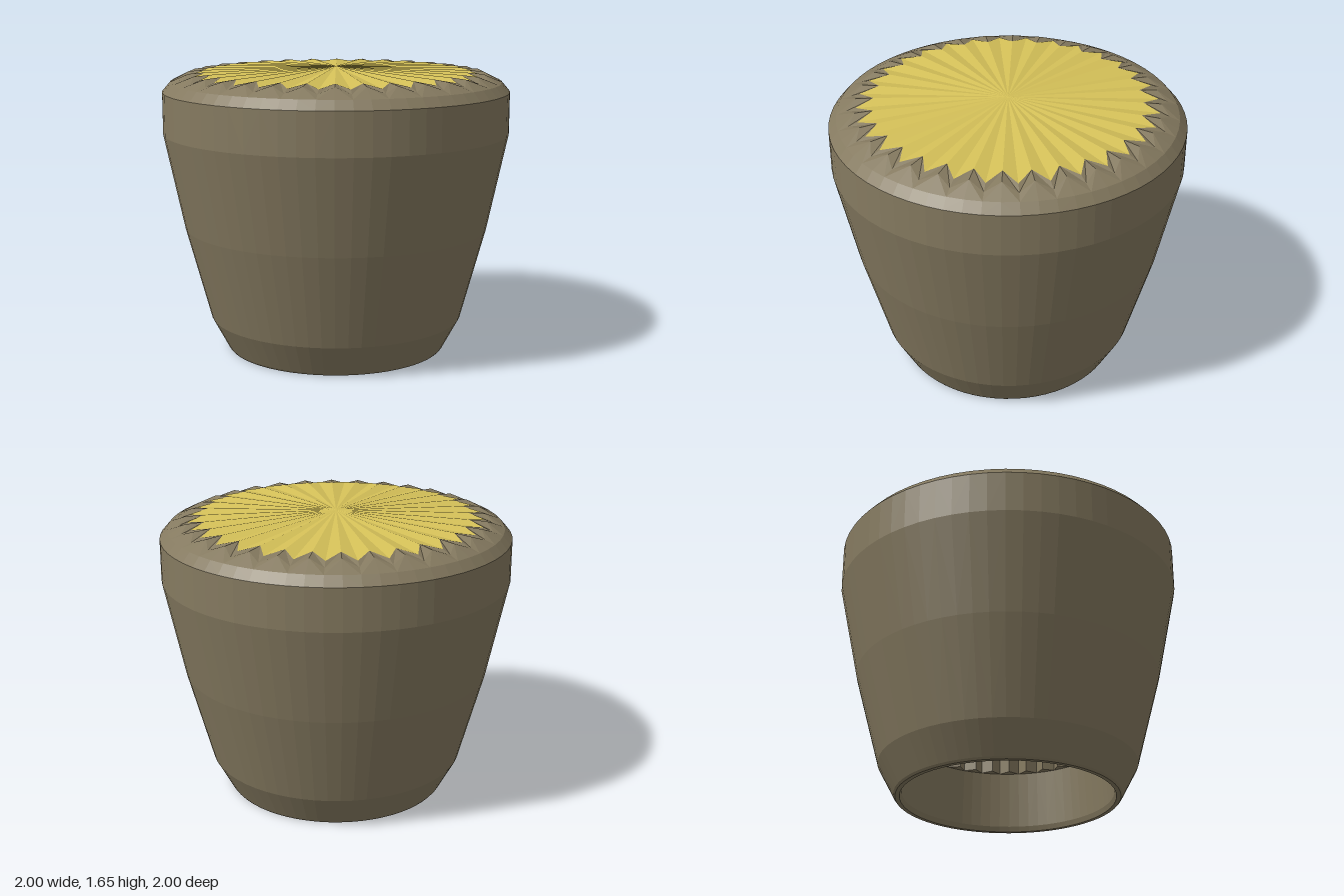
import * as THREE from 'three';

const SIDES = 64; // 32 pleats: even corners are grooves, odd corners are ridges

// Skin a stack of rings. Each ring is [r, y] or [grooveR, grooveY, ridgeR, ridgeY].
// Rings climbing on the outside (or descending on the inside) face outward.
function loft(rings) {
  const pos = [], idx = [];
  for (const [r0, y0, r1 = r0, y1 = y0] of rings) {
    for (let i = 0; i < SIDES; i++) {
      const a = (i / SIDES) * Math.PI * 2;
      const r = i % 2 ? r1 : r0;
      pos.push(r * Math.sin(a), i % 2 ? y1 : y0, r * Math.cos(a));
    }
  }
  for (let k = 0; k < rings.length - 1; k++) {
    for (let i = 0; i < SIDES; i++) {
      const j = (i + 1) % SIDES;
      const a = k * SIDES + i, b = k * SIDES + j;
      const c = a + SIDES, d = b + SIDES;
      // split each quad along the line mirrored about the ridge
      if (i % 2) idx.push(a, b, c, b, d, c);
      else idx.push(a, b, d, a, d, c);
    }
  }
  const g = new THREE.BufferGeometry();
  g.setAttribute('position', new THREE.Float32BufferAttribute(pos, 3));
  g.setIndex(idx);
  const flat = g.toNonIndexed();
  flat.computeVertexNormals();
  return flat;
}

function part(name, rings, color) {
  const material = new THREE.MeshStandardMaterial({ color, flatShading: true });
  const mesh = new THREE.Mesh(loft(rings), material);
  mesh.name = name;
  return mesh;
}

export function createModel() {
  const group = new THREE.Group();
  group.name = 'knob';
  const brown = 0x857a60, yellow = 0xd4c058;
  const star = [0.845, 1.612, 0.75, 1.632]; // zigzag border of the cap

  // Tapered wall from the inner lip, around the foot, up to the shoulder
  group.add(part('body', [
    [0.58, 0.36], [0.6, 0.03], [0.61, 0], [0.635, 0], [0.645, 0.012],
    [0.74, 0.19], [0.885, 0.73], [1, 1.28], [1, 1.52], [0.955, 1.572],
  ], brown));

  // Crimped rim between shoulder and cap
  group.add(part('pleatedRim', [
    [0.955, 1.572], [0.9, 1.592, 0.85, 1.625], star,
  ], brown));

  // Shallow conical cap with a star-shaped edge
  group.add(part('cap', [star, [0, 1.655]], yellow));

  // Ribbed socket inside, closed at the top
  group.add(part('socket', [
    [0, 1.3], [0.58, 1.3, 0.53, 1.3], [0.58, 0.36, 0.53, 0.36], [0.58, 0.36],
  ], brown));

  return group;
}
